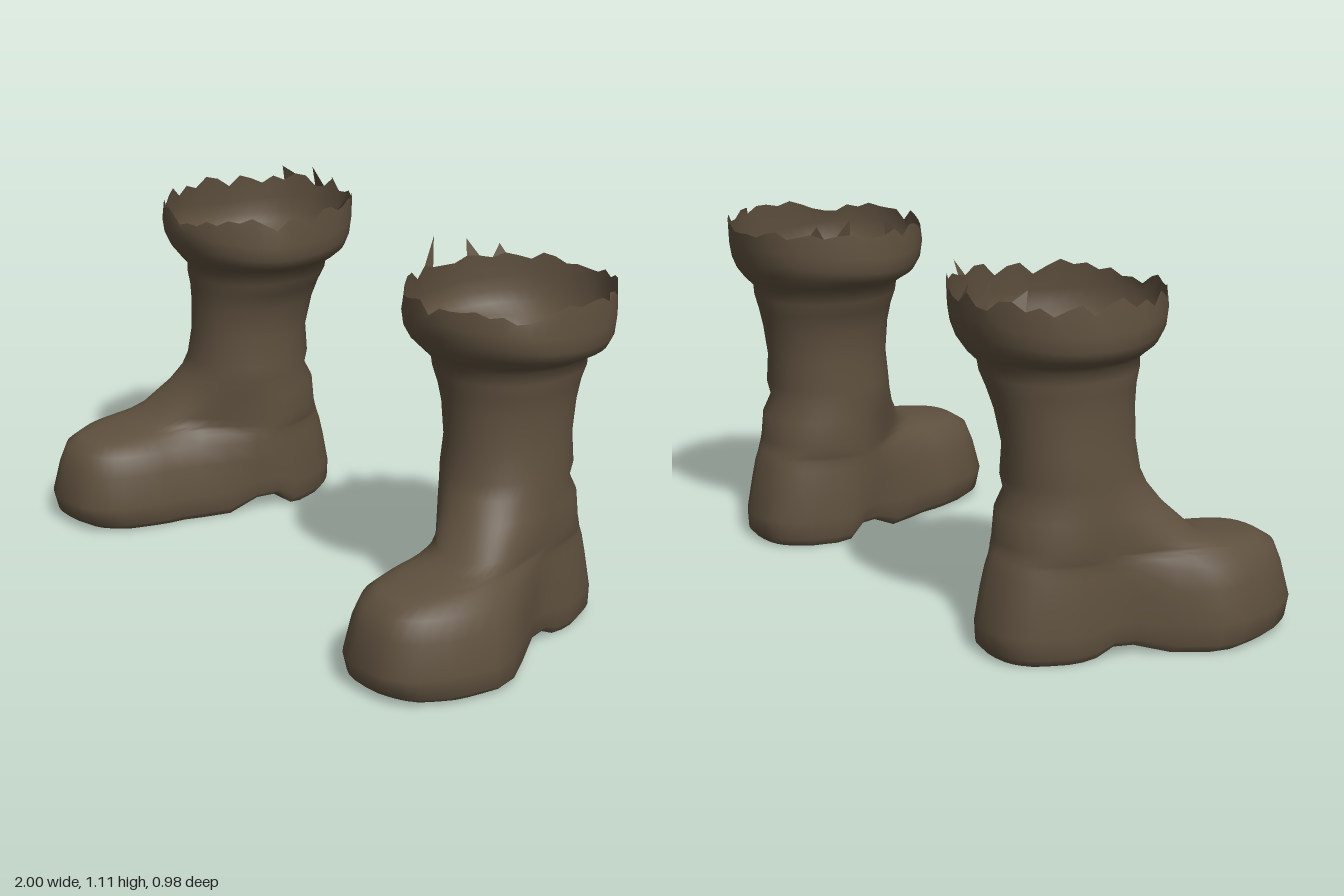
import * as THREE from 'three';

const leather = new THREE.MeshStandardMaterial({ color: 0x5e503e, side: THREE.DoubleSide });
leather.name = 'brown leather';

const N = 48;
// Foot levels: y, front z, back z, half width at heel, half width at toe
const FOOT = [
  [0.005, 0.43, -0.42, 0.192, 0.21],
  [0.03, 0.472, -0.443, 0.21, 0.235],
  [0.09, 0.489, -0.447, 0.211, 0.234],
  [0.19, 0.463, -0.427, 0.205, 0.217],
  [0.25, 0.442, -0.415, 0.198, 0.193],
  [0.28, 0.395, -0.405, 0.194, 0.167],
  [0.293, 0.31, -0.4, 0.192, 0.155],
  [0.305, 0.22, -0.395, 0.19, 0.16],
  [0.33, 0.155, -0.388, 0.189, 0.168],
  [0.41, 0.085, -0.382, 0.187, 0.183],
];
// Shaft and cuff levels: y, front z, back z, half width
const SHAFT = [
  [0.465, 0.055, -0.353, 0.178],
  [0.51, 0.04, -0.365, 0.181],
  [0.6, 0.03, -0.362, 0.168],
  [0.7, 0.034, -0.38, 0.174],
  [0.76, 0.042, -0.395, 0.188],
  [0.805, 0.052, -0.408, 0.207],
  [0.838, 0.056, -0.412, 0.208],
  [0.862, 0.078, -0.437, 0.243],
  [0.89, 0.105, -0.458, 0.28],
  [0.925, 0.124, -0.472, 0.296],
  [0.97, 0.132, -0.481, 0.298],
  [1.03, 0.128, -0.487, 0.29],
];
const LEVELS = [...FOOT, ...SHAFT.map(([y, zf, zb, w]) => [y, zf, zb, w, w])];

const { smoothstep, lerp } = THREE.MathUtils;

function seeded(seed) {
  return () => (seed = (seed * 16807) % 2147483647) / 2147483647;
}

// Point on a level; angle 0 is the front, rising towards the outer side
function boundary([y, zf, zb, heelW, toeW], t, s) {
  const e = lerp(0.76, 0.96, smoothstep(y, 0.2, 0.5));
  const power = v => Math.sign(v) * Math.abs(v) ** e;
  const low = 1 - smoothstep(y, 0.3, 0.55);
  const foot = 1 - smoothstep(y, 0.05, 0.3);
  const cuff = smoothstep(y, 0.84, 0.92);
  const z = (zf + zb) / 2 + (zf - zb) / 2 * power(Math.cos(t));
  const side = power(Math.sin(t));
  const waist = 1 - 0.12 * foot * Math.exp(-(((z + 0.05) / 0.09) ** 2));
  const w = lerp(heelW, toeW, smoothstep(z, -0.15, 0.1)) * waist;
  // wrinkles on the cuff and shaft, small scallops at the sole
  const wobble = 1 + 0.014 * cuff * Math.sin(5 * t + s + 9 * y) + 0.012 * foot * Math.sin(15 * t)
    + 0.009 * (1 - foot) * (1 - cuff) * Math.sin(3 * t + 23 * y);
  // the shaft leans inward at the top and the toes turn out
  const centre = 0.636 - (0.03 - 0.011 * s) * smoothstep(y, 0.6, 0.9) + 0.135 * low * smoothstep(z, -0.2, 0.2);
  // raised arch in front of the heel
  const arch = (side < 0 ? 0.065 : 0.04) * Math.exp(-(((z + 0.12) / 0.055) ** 2)) * Math.max(0, 1 - y / 0.17);
  const sag = 0.016 * cuff * (1 - smoothstep(y, 0.97, 1.03)) * Math.sin(2 * t + 1);
  return [s * (centre + w * side * wobble), y + arch + sag, z];
}

function meshFrom(name, points, index) {
  const g = new THREE.BufferGeometry();
  g.setAttribute('position', new THREE.Float32BufferAttribute(points.flat(), 3));
  g.setIndex(index);
  g.computeVertexNormals();
  const mesh = new THREE.Mesh(g, leather);
  mesh.name = name;
  return mesh;
}

function quad(index, a, b, c, d, s) {
  if (s > 0) index.push(a, b, c, a, c, d);
  else index.push(a, c, b, a, d, c);
}

function createBoot(name, s, seed, spikes) {
  const boot = new THREE.Group();
  boot.name = name;
  const random = seeded(seed);

  // Open upper with a torn rim
  const points = [], index = [];
  const rim = (LEVELS.length - 1) * N;
  LEVELS.forEach((level, r) => {
    for (let i = 0; i < N; i++) {
      const t = (i / N) * Math.PI * 2;
      const p = boundary(level, t, s);
      if (r * N === rim) p[1] += (random() - 0.5) * 0.045 - 0.006 * Math.cos(t);
      points.push(p);
      if (r) {
        const k = (i + 1) % N, a = (r - 1) * N;
        quad(index, a + i, a + k, a + N + k, a + N + i, s);
      }
    }
  });
  boot.add(meshFrom('upper', points, index));

  // Sole: strips across the bottom level
  const solePoints = [], soleIndex = [], across = 6;
  for (let i = 0; i <= N / 2; i++) {
    const outer = points[i], inner = points[(N - i) % N];
    for (let j = 0; j <= across; j++) {
      solePoints.push(outer.map((v, k) => lerp(v, inner[k], j / across)));
      if (i && j) {
        const a = (i - 1) * (across + 1) + j - 1, b = a + across + 1;
        quad(soleIndex, a, a + 1, b + 1, b, s);
      }
    }
  }
  boot.add(meshFrom('sole', solePoints, soleIndex));

  // Pointed shreds on the rim: angle, height, outward lean, forward lean
  const shreds = [], shredIndex = [];
  for (const [t, h, out, forward] of spikes) {
    const i = Math.round(t / (Math.PI * 2) * N) % N;
    const a = points[rim + i], b = points[rim + (i + 1) % N], n = shreds.length;
    const tip = [
      (a[0] + b[0]) / 2 + s * out * Math.sin(t),
      1.03 + h,
      (a[2] + b[2]) / 2 + out * Math.cos(t) + forward,
    ];
    shreds.push(a, b, tip);
    shredIndex.push(...(s > 0 ? [n, n + 1, n + 2] : [n, n + 2, n + 1]));
  }
  boot.add(meshFrom('rimShreds', shreds, shredIndex));
  return boot;
}

export function createModel() {
  const model = new THREE.Group();
  model.name = 'boots';
  model.add(
    createBoot('leftBoot', 1, 4711, [
      [4.8, 0.08, 0.035, -0.05], [4.3, 0.06, 0.02, 0.02], [4.0, 0.04, 0.01, 0], [1.9, 0.02, 0, 0.01],
    ]),
    createBoot('rightBoot', -1, 917, [
      [4.2, 0.05, 0.025, 0], [3.85, 0.035, 0.01, 0.01], [3.2, 0.045, 0, 0.02],
      [2.85, 0.06, 0, 0.03], [2.5, 0.05, 0, 0.03],
    ]),
  );
  return model;
}
